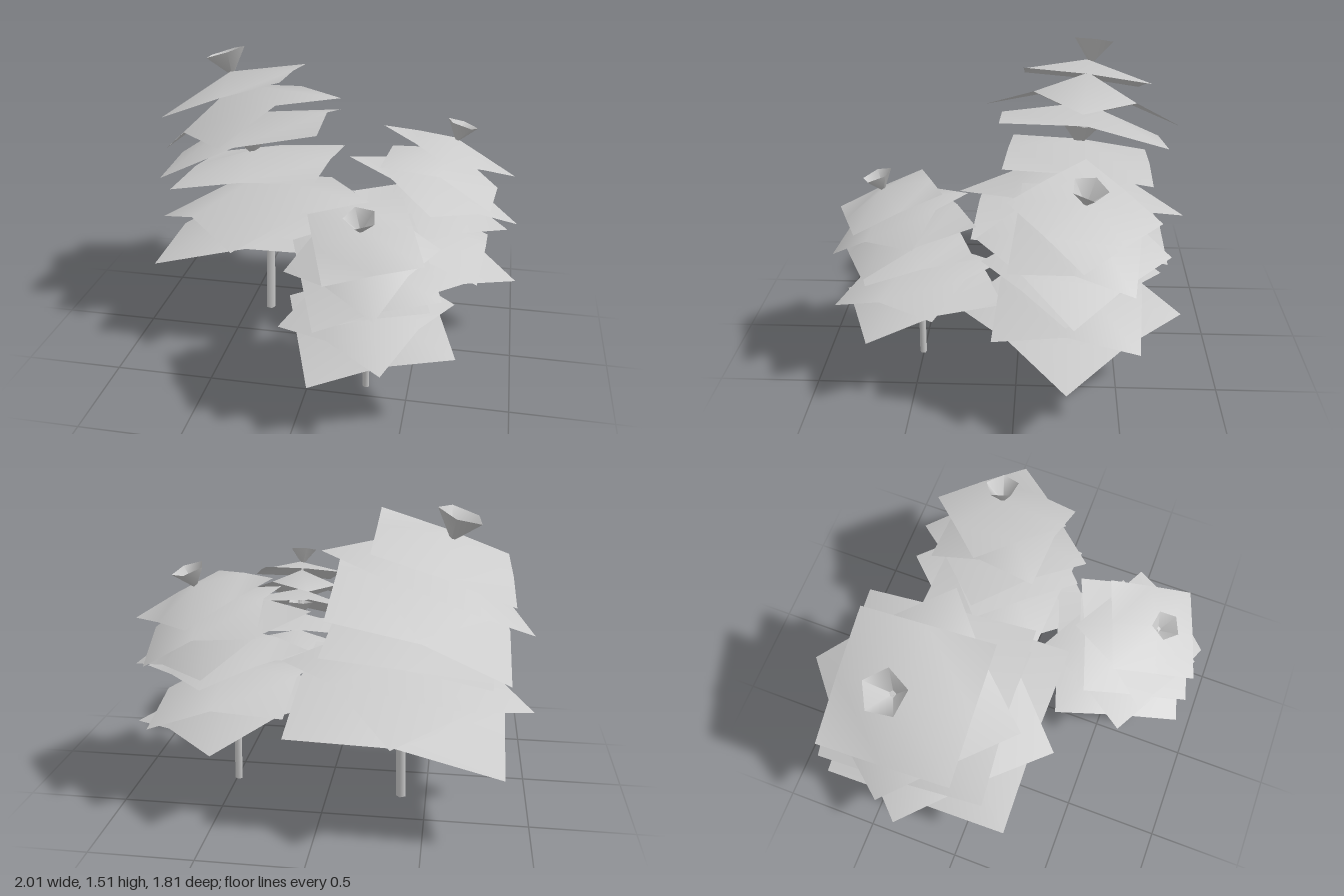
import * as THREE from 'three';

const material = new THREE.MeshStandardMaterial({ color: 0xcccccc, side: THREE.DoubleSide });
const UP = new THREE.Vector3(0, 1, 0);

// Leaf sheets of one tree, relative to the foot of its trunk:
// centre x, centre z, mean corner height, side, turn in degrees, slope in x, slope in z,
// rise of the centre and of the edge middles above the corners
const LAYERS = [
  [0.015, 0.005, 0.50, 1.01, 0, 0.14, 0.125, 0.19, 0.06],
  [-0.01, -0.01, 0.60, 0.89, 47.5, 0.145, 0.09, 0.22, 0.09],
  [-0.04, -0.045, 0.858, 0.78, 2, 0.13, 0.10, 0.105, 0.02],
  [-0.07, -0.045, 1.00, 0.86, -2, 0.34, 0.15, 0.165, 0.05],
  [-0.105, -0.065, 1.09, 0.757, 47, 0.36, 0.11, 0.23, 0.09],
  [-0.175, -0.07, 1.28, 0.665, -1, 0.35, 0.12, 0.10, 0.01],
];

// Square sheet of 2 x 2 quads: raised centre, drooping corners, tilted as a whole
function leafSheet([cx, cz, y, side, turn, sx, sz, rise, edgeRise]) {
  const g = new THREE.PlaneGeometry(side, side, 2, 2).rotateX(-Math.PI / 2);
  const p = g.attributes.position;
  for (let i = 0; i < p.count; i++) {
    const edges = (Math.abs(p.getX(i)) + Math.abs(p.getZ(i))) / (side / 2);
    p.setY(i, [rise, edgeRise, 0][Math.round(edges)]);
  }
  g.rotateY(-THREE.MathUtils.degToRad(turn));
  const squeeze = 1 / Math.hypot(1, sx);
  for (let i = 0; i < p.count; i++) {
    const x = p.getX(i) * squeeze, h = p.getY(i), z = p.getZ(i);
    p.setXYZ(i, cx + x - sx * h, y + h * squeeze + sx * x + sz * z, cz + z - sz * h);
  }
  g.computeVertexNormals();
  return named(g, 'leafSheet');
}

function named(geometry, name) {
  const mesh = new THREE.Mesh(geometry, material);
  mesh.name = name;
  return mesh;
}

// Five-sided tapered piece between two points
function taper(name, a, b, r0, r1, open) {
  const dir = b.clone().sub(a);
  const mesh = named(new THREE.CylinderGeometry(r1, r0, dir.length(), 5, 1, open, 0.44), name);
  mesh.position.copy(a).add(b).multiplyScalar(0.5);
  mesh.quaternion.setFromUnitVectors(UP, dir.normalize());
  return mesh;
}

function tree() {
  const group = new THREE.Group();
  const v = (x, y, z) => new THREE.Vector3(x, y, z);

  // Bent trunk, thinner towards the top
  const path = [v(0, 0, 0), v(0.01, 0.54, 0), v(-0.02, 0.72, -0.02), v(-0.085, 0.95, -0.045), v(-0.205, 1.37, -0.1)];
  const radii = [0.027, 0.024, 0.021, 0.017, 0.012];
  for (let i = 0; i < path.length - 1; i++) {
    group.add(taper('trunk', path[i], path[i + 1], radii[i], radii[i + 1], false));
  }

  for (const layer of LAYERS) group.add(leafSheet(layer));

  // Open cups above each cluster of sheets
  group.add(taper('middleCup', v(-0.085, 0.92, -0.045), v(-0.1, 1.048, -0.055), 0.004, 0.112, true));
  group.add(taper('topCup', v(-0.205, 1.35, -0.1), v(-0.245, 1.473, -0.112), 0.004, 0.112, true));
  return group;
}

export function createModel() {
  const model = new THREE.Group();
  model.name = 'layeredTrees';
  // x, y, z, scale, turn in degrees
  const placements = [
    ['largeTree', -0.375, 0, -0.265, 1, 0],
    ['mediumTree', 0.47, 0.04, -0.26, 0.765, -136],
    ['smallTree', 0.3, 0.055, 0.49, 0.675, 109],
  ];
  for (const [name, x, y, z, scale, turn] of placements) {
    const t = tree();
    t.name = name;
    t.position.set(x, y, z);
    t.scale.setScalar(scale);
    t.rotation.y = THREE.MathUtils.degToRad(turn);
    model.add(t);
  }
  return model;
}
